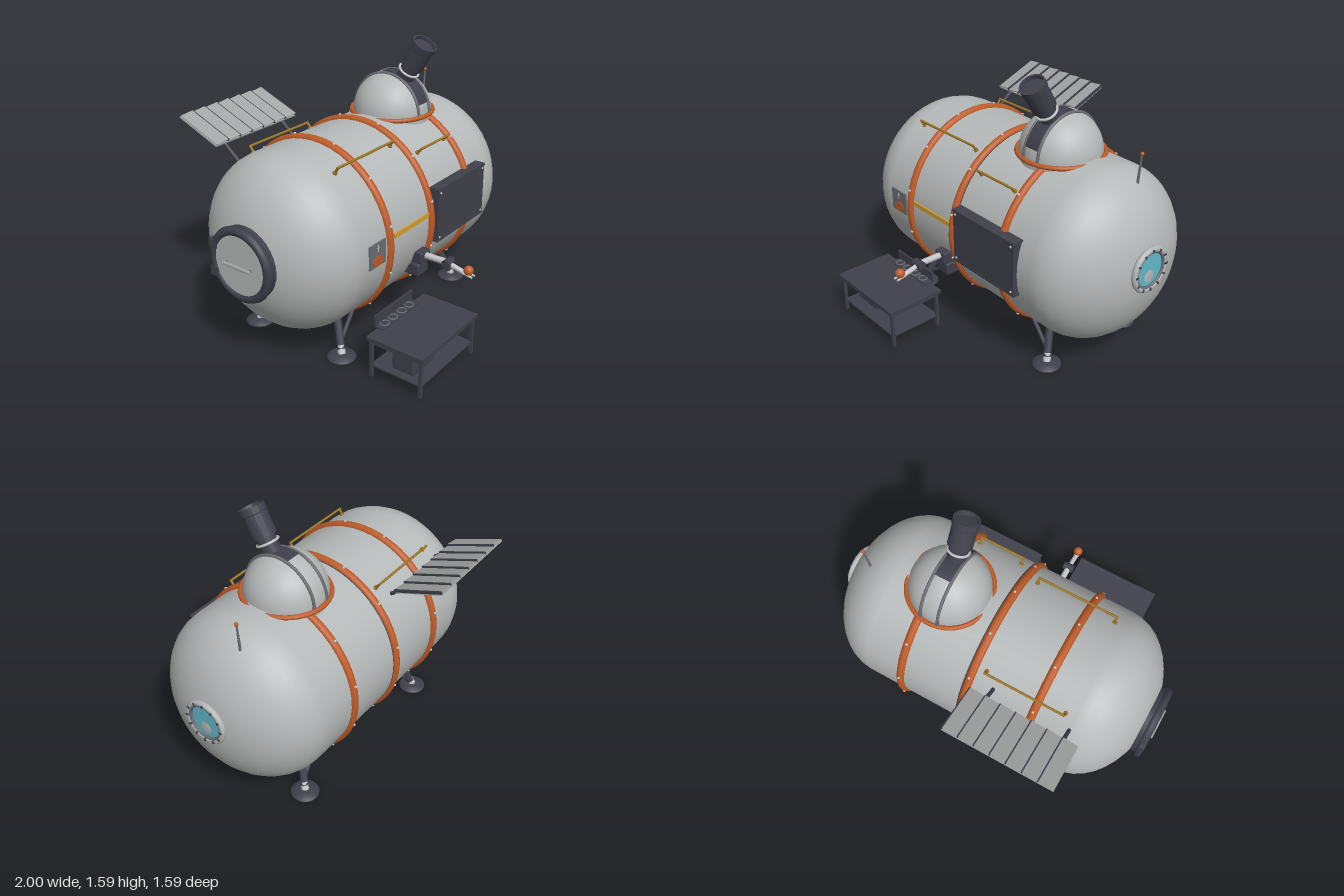
import * as THREE from 'three';
import { RoundedBoxGeometry } from 'three/addons/geometries/RoundedBoxGeometry.js';

const paint = (name, color, side = THREE.FrontSide) => {
  const m = new THREE.MeshStandardMaterial({ color, side });
  m.name = name;
  return m;
};
const V = (x, y, z) => new THREE.Vector3(x, y, z);
const AY = 0.65, AZ = -0.087, R = 0.5; // hull axis and radius

export function createModel() {
  const hull = paint('hullGrey', 0xb6b9b9);
  const dark = paint('darkSlate', 0x40404c, THREE.DoubleSide);
  const orange = paint('copperOrange', 0xbf5c28);
  const yellow = paint('stripeYellow', 0xd6a030);
  const brass = paint('railBrass', 0x9c7626);
  const glass = paint('windowBlue', 0x62b8cc);
  const slatGrey = paint('slatGrey', 0xa2a5a5);
  const steel = paint('steel', 0xc4c7c9);
  const trim = paint('trimGrey', 0x6c6e74, THREE.DoubleSide);

  const root = new THREE.Group();
  root.name = 'habitatModule';
  const group = (name, parent = root) => {
    const g = new THREE.Group();
    g.name = name;
    parent.add(g);
    return g;
  };
  const add = (parent, name, geo, mat, p = [0, 0, 0], r = [0, 0, 0]) => {
    const m = new THREE.Mesh(geo, mat);
    m.name = name;
    m.position.set(...p);
    m.rotation.set(...r);
    parent.add(m);
    return m;
  };
  const box = (parent, name, size, mat, p, r) => add(parent, name, new THREE.BoxGeometry(...size), mat, p, r);
  const rod = (parent, name, a, b, r, mat, r2 = r) => {
    const d = b.clone().sub(a);
    const m = add(parent, name, new THREE.CylinderGeometry(r2, r, d.length(), 12), mat);
    m.position.copy(a).addScaledVector(d, 0.5);
    m.quaternion.setFromUnitVectors(V(0, 1, 0), d.normalize());
    return m;
  };
  const discX = (parent, name, r, x0, x1, mat, y, z) =>
    add(parent, name, new THREE.CylinderGeometry(r, r, x1 - x0, 32), mat, [(x0 + x1) / 2, y, z], [0, 0, -Math.PI / 2]);
  const ringX = (parent, name, r, tube, mat, p, seg = 48) =>
    add(parent, name, new THREE.TorusGeometry(r, tube, 10, seg), mat, p, [0, Math.PI / 2, 0]);
  // point on a circle around the hull axis, angle measured from the top towards the front
  const around = (x, r, a) => V(x, AY + r * Math.cos(a), AZ + r * Math.sin(a));

  // Pressure hull: cylinder with elliptical ends
  const profile = [];
  const N = 10;
  for (let i = 0; i <= N; i++) {
    const a = (i / N) * Math.PI / 2;
    profile.push(new THREE.Vector2(R * Math.sin(a), -0.59 - 0.36 * Math.cos(a)));
  }
  for (let i = N; i >= 0; i--) {
    const a = (i / N) * Math.PI / 2;
    profile.push(new THREE.Vector2(R * Math.sin(a), 0.62 + 0.36 * Math.cos(a)));
  }
  add(root, 'hull', new THREE.LatheGeometry(profile, 48), hull, [0, AY, AZ], [0, 0, -Math.PI / 2]);

  // Hoops with bolts
  for (const x of [-0.38, 0.005, 0.395]) {
    const hoop = group('hoop');
    ringX(hoop, 'hoopBand', 0.498, 0.024, orange, [x, AY, AZ], 64);
    for (let i = 0; i < 12; i++) {
      const bolt = add(hoop, 'hoopBolt', new THREE.SphereGeometry(0.008, 8, 6), steel);
      bolt.position.copy(around(x, 0.521, (i + 0.5) * Math.PI / 6));
    }
  }
  add(root, 'hullSeam', new THREE.CylinderGeometry(0.503, 0.503, 0.008, 64, 1, true), dark, [0.03, AY, AZ], [0, 0, Math.PI / 2]);

  // Porthole on the left end
  const port = group('porthole');
  discX(port, 'portholeGlass', 0.108, 0.94, 0.978, glass, 0.69, AZ);
  ringX(port, 'portholeRing', 0.115, 0.017, hull, [0.978, 0.69, AZ], 24);
  ringX(port, 'portholeSeal', 0.102, 0.009, trim, [0.982, 0.69, AZ], 24);
  for (let i = 0; i < 12; i++) {
    const a = i * Math.PI / 6;
    box(port, 'portholeBolt', [0.008, 0.01, 0.016], dark, [0.994, 0.69 + 0.113 * Math.sin(a), AZ + 0.113 * Math.cos(a)], [-a, 0, 0]);
  }

  // Hatch on the right end
  const hatch = group('hatch');
  discX(hatch, 'hatchCollar', 0.2, -0.96, -0.88, dark, AY + 0.003, AZ);
  ringX(hatch, 'hatchRing', 0.184, 0.026, dark, [-0.962, AY + 0.003, AZ]);
  discX(hatch, 'hatchDoor', 0.165, -0.978, -0.95, hull, AY + 0.003, AZ);
  rod(hatch, 'hatchHandle', V(-0.993, AY, AZ - 0.09), V(-0.993, AY, AZ + 0.09), 0.009, slatGrey);
  for (const s of [-1, 1]) {
    rod(hatch, 'handlePost', V(-0.97, AY, AZ + s * 0.08), V(-0.993, AY, AZ + s * 0.08), 0.008, trim);
    box(hatch, 'hatchHinge', [0.03, 0.05, 0.05], dark, [-0.972, AY + s * 0.08, AZ - 0.175]);
  }

  // Observatory dome
  const dome = group('dome');
  const DX = 0.326, DY = 1.134;
  add(dome, 'domeShell', new THREE.SphereGeometry(0.228, 40, 16, 0, Math.PI * 2, 0, Math.PI / 2), hull, [DX, DY, AZ]);
  add(dome, 'domeCollar', new THREE.CylinderGeometry(0.23, 0.23, 0.12, 40), hull, [DX, DY - 0.06, AZ]);
  add(dome, 'domeRing', new THREE.TorusGeometry(0.238, 0.013, 10, 48), orange, [DX, DY, AZ], [Math.PI / 2, 0, 0]);
  for (const s of [-1, 1])
    add(dome, 'domeRail', new THREE.TorusGeometry(0.224, 0.009, 8, 32, Math.PI), trim, [DX + s * 0.052, DY, AZ], [0, Math.PI / 2, 0]);
  const slot = new THREE.CylinderGeometry(0.23, 0.23, 0.095, 20, 1, true, 0.3, 1.5);
  slot.rotateX(Math.PI / 2).rotateY(Math.PI / 2); // axis along x
  slot.computeBoundingSphere();
  const sc = slot.boundingSphere.center;
  slot.rotateX(Math.atan2(sc.z, sc.y) * -1 + THREE.MathUtils.degToRad(30)); // lean the opening forward
  add(dome, 'domeSlot', slot, dark, [DX, DY, AZ]);

  // Telescope leaning to the front
  const scope = group('telescope');
  scope.position.set(DX, 1.336, 0);
  scope.rotation.x = 0.546;
  add(scope, 'scopeTube', new THREE.CylinderGeometry(0.054, 0.05, 0.22, 24), dark, [0, -0.01, 0]);
  const barrel = [[0, 0.09], [0.068, 0.09], [0.068, 0.215], [0.072, 0.22], [0.072, 0.256], [0.062, 0.256], [0.06, 0.235], [0, 0.235]];
  add(scope, 'scopeBarrel', new THREE.LatheGeometry(barrel.map(p => new THREE.Vector2(...p)), 24).toNonIndexed(), dark).geometry.computeVertexNormals();
  add(scope, 'scopeRing', new THREE.TorusGeometry(0.059, 0.007, 8, 28), steel, [0, 0.055, 0], [Math.PI / 2, 0, 0]);

  // Handrails
  for (const [x0, x1, deg] of [[-0.54, -0.06, 32], [0.075, 0.35, 44], [-0.54, -0.06, -36.5]]) {
    const a = THREE.MathUtils.degToRad(deg), rail = group('handrail');
    rod(rail, 'railBar', around(x0, 0.54, a), around(x1, 0.54, a), 0.007, brass);
    for (const x of [x0 + 0.005, x1 - 0.005]) {
      rod(rail, 'railPost', around(x, 0.49, a), around(x, 0.54, a), 0.007, brass);
      rod(rail, 'railFoot', around(x, 0.49, a), around(x, 0.508, a), 0.013, brass);
    }
  }

  // Antenna
  const antenna = group('antenna');
  rod(antenna, 'antennaRod', V(0.786, 1.06, -0.175), V(0.803, 1.245, -0.175), 0.008, trim, 0.005);
  add(antenna, 'antennaTip', new THREE.SphereGeometry(0.011, 12, 8), orange, [0.804, 1.247, -0.175]);

  // Slatted panel on two struts at the back
  const solar = group('slatPanel');
  solar.position.set(-0.357, 1.155, -0.658);
  solar.rotation.x = 0.375;
  box(solar, 'panelBacking', [0.635, 0.008, 0.295], slatGrey, [0, -0.004, 0]);
  for (let i = 0; i < 7; i++) {
    const x = (i - 3) * 0.0905;
    box(solar, 'panelSlat', [0.082, 0.005, 0.293], slatGrey, [x, 0.008, 0], [0, 0, 0.12]);
    box(solar, 'slatGap', [0.008, 0.016, 0.293], dark, [x + 0.044, 0.006, 0]);
  }
  for (const x of [-0.59, -0.135]) rod(root, 'panelStrut', V(x, 0.99, -0.43), V(x, 1.13, -0.6), 0.011, dark);

  // Front equipment panel with corner screws
  const panel = group('equipmentPanel');
  box(panel, 'panelBody', [0.485, 0.315, 0.066], dark, [0.285, 0.685, 0.403]);
  for (const y of [0.532, 0.84]) box(panel, 'panelEdge', [0.495, 0.012, 0.07], dark, [0.285, y, 0.403]);
  for (const x of [0.062, 0.508]) for (const y of [0.55, 0.82])
    add(panel, 'panelScrew', new THREE.SphereGeometry(0.007, 8, 6), steel, [x, y, 0.436]);

  // Painted plate and stripe on the front
  const plate = group('markerPlate');
  box(plate, 'plateBase', [0.135, 0.135, 0.009], trim, [-0.493, 0.672, 0.414]);
  add(plate, 'plateOval', new THREE.CylinderGeometry(0.042, 0.042, 0.004, 24), orange, [-0.493, 0.637, 0.42], [Math.PI / 2, 0, 0]).scale.z = 0.72;
  box(plate, 'plateTick', [0.004, 0.04, 0.003], steel, [-0.493, 0.708, 0.42]);
  box(plate, 'plateCross', [0.014, 0.004, 0.003], steel, [-0.493, 0.712, 0.42]);
  const stripe = new THREE.Shape([[-0.35, 0.727], [-0.335, 0.699], [-0.02, 0.699], [-0.02, 0.727]].map(p => new THREE.Vector2(...p)));
  add(root, 'stripe', new THREE.ExtrudeGeometry(stripe, { depth: 0.008, bevelEnabled: false }), yellow, [0, 0, 0.408]);

  // Robot arm
  const arm = group('robotArm'), ax = -0.083;
  add(arm, 'armMount', new RoundedBoxGeometry(0.098, 0.075, 0.11, 2, 0.012), dark, [ax, 0.415, 0.375]);
  add(arm, 'armShoulder', new RoundedBoxGeometry(0.085, 0.07, 0.09, 2, 0.01), dark, [ax, 0.49, 0.4]);
  rod(arm, 'upperArm', V(ax, 0.5, 0.43), V(ax, 0.503, 0.587), 0.018, steel);
  rod(arm, 'elbow', V(ax - 0.032, 0.503, 0.587), V(ax + 0.032, 0.503, 0.587), 0.025, dark);
  rod(arm, 'forearm', V(ax, 0.5, 0.587), V(ax, 0.475, 0.69), 0.014, steel);
  add(arm, 'wristBall', new THREE.SphereGeometry(0.027, 20, 14), orange, [ax, 0.497, 0.715]);
  for (const s of [-1, 1])
    rod(arm, 'gripFinger', V(ax + s * 0.01, 0.475, 0.69), V(ax + s * 0.014, 0.468, 0.745), 0.006, steel);

  // Workbench
  const bench = group('workbench'), bx = -0.357, bz = 0.615;
  box(bench, 'benchTop', [0.535, 0.02, 0.35], dark, [bx, 0.25, bz]);
  box(bench, 'benchRim', [0.515, 0.018, 0.33], dark, [bx, 0.232, bz]);
  box(bench, 'benchShelf', [0.5, 0.01, 0.315], dark, [bx, 0.083, bz]);
  for (const sx of [-1, 1]) for (const sz of [-1, 1])
    box(bench, 'benchLeg', [0.018, 0.235, 0.018], dark, [bx + sx * 0.247, 0.133, bz + sz * 0.154]);
  box(bench, 'backBoard', [0.34, 0.065, 0.01], dark, [bx, 0.292, 0.423]);
  box(bench, 'boardBracket', [0.34, 0.008, 0.06], dark, [bx, 0.262, 0.45]);
  for (const x of [-0.475, -0.4, -0.32, -0.25])
    add(bench, 'toolRing', new THREE.TorusGeometry(0.026, 0.004, 6, 12), trim, [x, 0.269, 0.45], [Math.PI / 2, 0, 0]);
  add(bench, 'toolCase', new RoundedBoxGeometry(0.2, 0.12, 0.135, 2, 0.01), dark, [-0.47, 0.15, 0.635]);
  const wedge = new THREE.Shape([[-0.05, 0], [0.045, -0.02], [0.045, 0.025]].map(p => new THREE.Vector2(...p)));
  add(bench, 'caseMark', new THREE.ExtrudeGeometry(wedge, { depth: 0.004, bevelEnabled: false }), steel, [-0.445, 0.152, 0.701]);

  // Landing legs
  for (const sx of [-1, 1]) for (const sz of [-1, 1]) {
    const leg = group('landingLeg');
    const P = (x, y, dz) => V(sx * x + 0.007, y, AZ + sz * dz);
    const foot = [[0, 0], [0.08, 0], [0.08, 0.01], [0.045, 0.026], [0, 0.026]].map(p => new THREE.Vector2(...p));
    add(leg, 'footPad', new THREE.LatheGeometry(foot, 24), dark).position.copy(P(0.558, 0, 0.305));
    rod(leg, 'ankle', P(0.558, 0.02, 0.305), P(0.545, 0.065, 0.288), 0.022, steel);
    rod(leg, 'legTube', P(0.55, 0.045, 0.295), P(0.475, 0.29, 0.195), 0.023, dark);
    rod(leg, 'legBrace', P(0.535, 0.075, 0.28), P(0.29, 0.235, 0.215), 0.012, dark);
  }
  return root;
}
